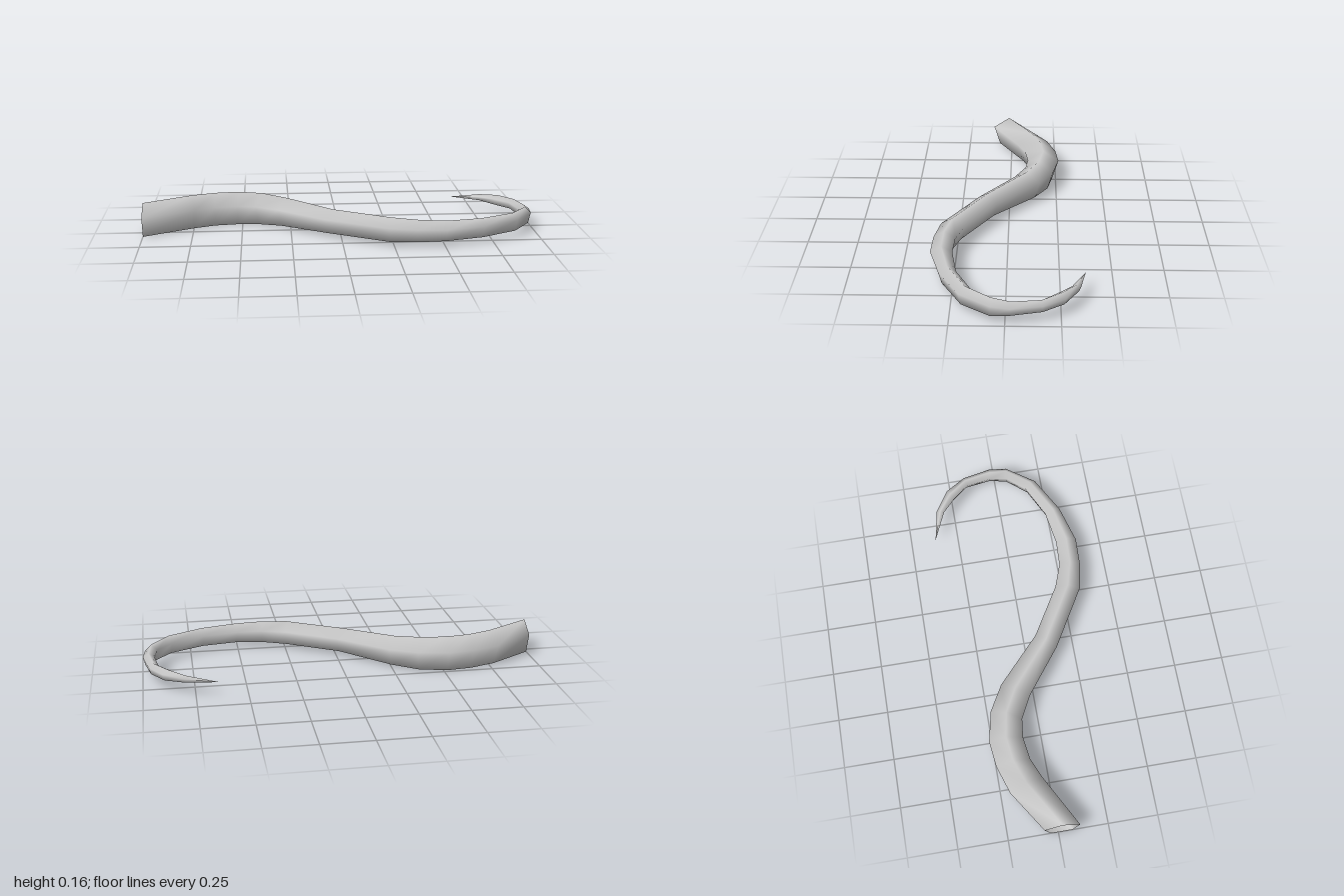
import * as THREE from 'three';

// Rings along the tentacle: two side points (x, z) on either edge, and the vertical radius
const RINGS = [
  [-1.00, -0.07, -1.00, 0.105, 0.0896],
  [-0.79, -0.205, -0.74, -0.035, 0.0896],
  [-0.65, -0.25, -0.64, -0.078, 0.0896],
  [-0.52, -0.265, -0.525, -0.095, 0.0896],
  [-0.365, -0.232, -0.43, -0.083, 0.086],
  [-0.235, -0.158, -0.315, -0.024, 0.077],
  [0.00, 0.06, -0.08, 0.157, 0.064],
  [0.25, 0.21, 0.22, 0.334, 0.063],
  [0.37, 0.253, 0.358, 0.361, 0.058],
  [0.503, 0.26, 0.503, 0.366, 0.052],
  [0.68, 0.232, 0.695, 0.313, 0.05],
  [0.845, 0.152, 0.882, 0.211, 0.049],
  [0.922, 0.062, 0.984, 0.067, 0.047],
  [0.938, -0.025, 0.996, -0.024, 0.034],
  [0.918, -0.158, 0.968, -0.168, 0.029],
  [0.85, -0.238, 0.904, -0.27, 0.028],
  [0.784, -0.302, 0.797, -0.34, 0.017],
  [0.635, -0.37, 0.635, -0.37, 0],
];

// Five-sided cross-section: sideways (-1..1) and height in radii, point upwards
const PROFILE = [[0, 1], [1, 0.36], [0.62, -0.809], [-0.62, -0.809], [-1, 0.36]];

function tentacleGeometry() {
  const positions = [], index = [], n = PROFILE.length, last = RINGS.length - 1;
  RINGS.forEach(([x0, z0, x1, z1, r], i) => {
    const y = i === last ? 0.066 : 0.0725;
    for (const [s, t] of PROFILE) {
      const k = (s + 1) / 2;
      positions.push(x0 + (x1 - x0) * k, y + r * t, z0 + (z1 - z0) * k);
    }
    if (i === last) return;
    for (let j = 0; j < n; j++) {
      const a = i * n + j, b = i * n + (j + 1) % n;
      index.push(a, b, a + n);
      if (i < last - 1) index.push(b, b + n, a + n); // the tip closes to a point
    }
  });
  const geometry = new THREE.BufferGeometry();
  geometry.setAttribute('position', new THREE.Float32BufferAttribute(positions, 3));
  geometry.setIndex(index);
  geometry.computeVertexNormals();
  return geometry;
}

export function createModel() {
  const group = new THREE.Group();
  // Open at the thick end, so both sides show
  const material = new THREE.MeshStandardMaterial({ color: 0xcccccc, side: THREE.DoubleSide });
  const tentacle = new THREE.Mesh(tentacleGeometry(), material);
  tentacle.name = 'tentacle';
  group.add(tentacle);
  return group;
}
